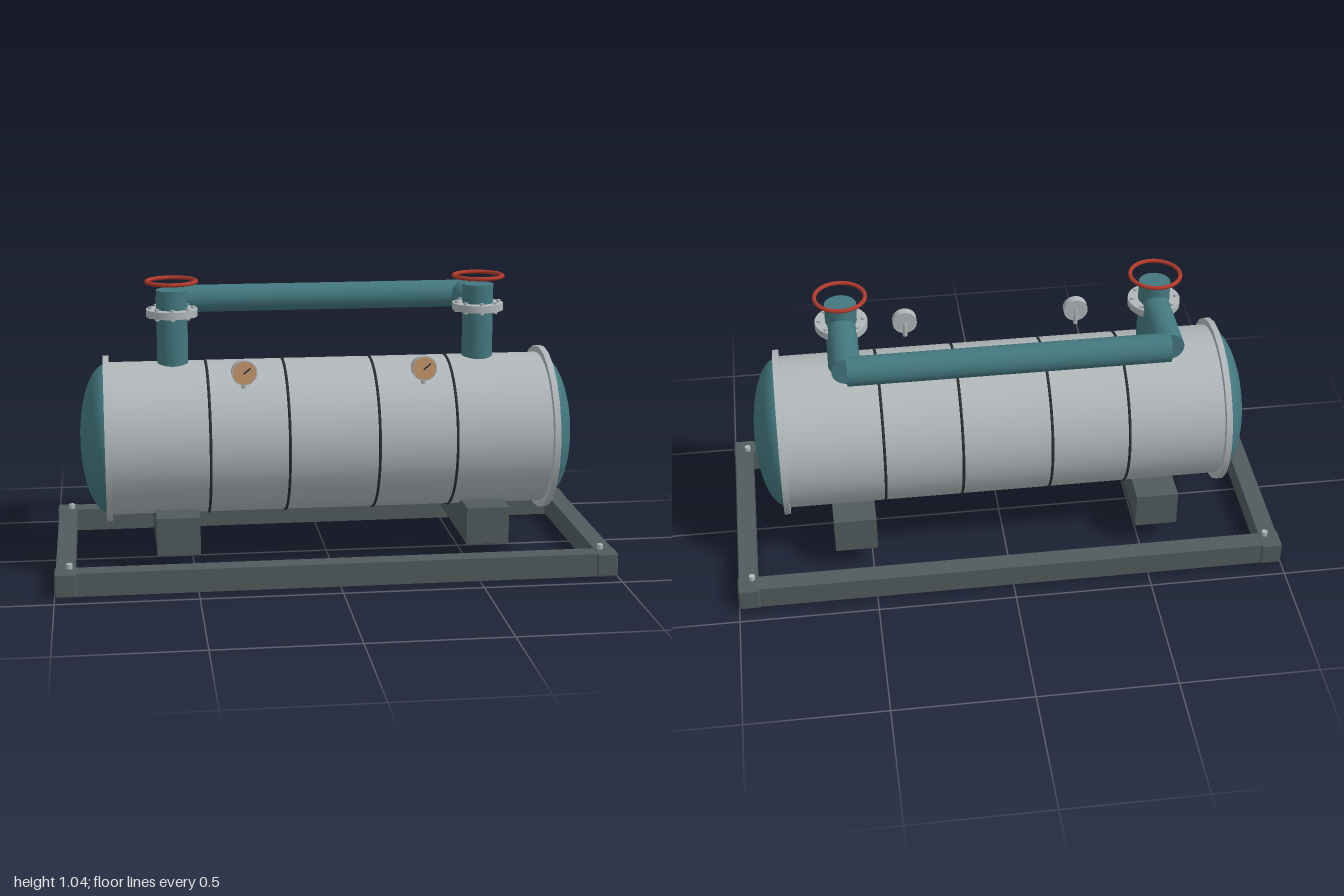
import * as THREE from 'three';
import { RoundedBoxGeometry } from 'three/addons/geometries/RoundedBoxGeometry.js';

const paint = (color) => new THREE.MeshStandardMaterial({ color });
const steel = paint(0xb0b6b9);
const teal = paint(0x43777e);
const frameGrey = paint(0x515b5e);
const red = paint(0xb03a2c);
const dark = paint(0x2c3033);
const dialTan = paint(0xc8986c);

const TANK_Y = 0.457, TANK_R = 0.278;

export function createModel() {
  const root = new THREE.Group();

  const add = (parent, name, geometry, material, x = 0, y = 0, z = 0) => {
    const mesh = new THREE.Mesh(geometry, material);
    mesh.name = name;
    mesh.position.set(x, y, z);
    parent.add(mesh);
    return mesh;
  };
  // Cylinder along a chosen axis
  const rod = (r, length, axis = 'y', sides = 32) => {
    const g = new THREE.CylinderGeometry(r, r, length, sides);
    if (axis === 'x') g.rotateZ(-Math.PI / 2);
    if (axis === 'z') g.rotateX(Math.PI / 2);
    return g;
  };
  const group = (name, x = 0, y = 0, z = 0) => {
    const g = new THREE.Group();
    g.name = name;
    g.position.set(x, y, z);
    root.add(g);
    return g;
  };

  // Tank shell and strapping bands
  const tank = group('tank', 0, TANK_Y, 0);
  add(tank, 'shell', rod(TANK_R, 1.6, 'x', 48), steel);
  for (const x of [-0.442, -0.161, 0.161, 0.442]) {
    add(tank, 'band', new THREE.TorusGeometry(TANK_R, 0.005, 8, 48).rotateY(Math.PI / 2), dark, x);
  }

  // End flanges and domed heads
  for (const s of [-1, 1]) {
    add(tank, 'endFlange', rod(0.303, 0.022, 'x', 24), steel, s * 0.802);
    const dome = new THREE.SphereGeometry(1, 32, 12, 0, Math.PI * 2, 0, Math.PI / 2);
    dome.scale(0.272, 0.1, 0.272).rotateZ(-s * Math.PI / 2);
    add(tank, 'domedHead', dome, teal, s * 0.801);
  }

  // Skid frame with corner blocks and bolts
  const skid = group('skidFrame');
  for (const s of [-1, 1]) {
    add(skid, 'longBeam', new THREE.BoxGeometry(1.88, 0.084, 0.07), frameGrey, 0, 0.044, s * 0.398);
    add(skid, 'crossBeam', new THREE.BoxGeometry(0.066, 0.084, 0.74), frameGrey, s * 0.961, 0.044, 0);
    for (const t of [-1, 1]) {
      add(skid, 'cornerBlock', new RoundedBoxGeometry(0.077, 0.088, 0.084, 2, 0.008), frameGrey, s * 0.9615, 0.044, t * 0.398);
      add(skid, 'cornerBolt', rod(0.011, 0.04, 'y', 12), steel, s * 0.947, 0.085, t * 0.377);
    }
  }

  for (const s of [-1, 1]) {
    const x = s * 0.56;
    // Saddle support
    add(root, 'saddle', new THREE.BoxGeometry(0.155, 0.136, 0.52), frameGrey, x, 0.153, 0);

    // Nozzle with bolted flange and handwheel
    const valve = group('valve', x, 0, 0);
    add(valve, 'nozzle', rod(0.056, 0.32), teal, 0, 0.84, 0);
    add(valve, 'nozzleFlange', rod(0.093, 0.026), steel, 0, 0.918, 0);
    for (let i = 0; i < 8; i++) {
      const a = i * Math.PI / 4;
      add(valve, 'flangeBolt', rod(0.008, 0.042, 'y', 8), steel, Math.cos(a) * 0.078, 0.918, Math.sin(a) * 0.078);
    }
    add(valve, 'handwheel', new THREE.TorusGeometry(0.089, 0.0075, 10, 36).rotateX(Math.PI / 2), red, 0, 1.03, 0);

    // Branch to the rear header
    add(valve, 'branchPipe', rod(0.051, 0.29, 'z'), teal, 0, 0.917, -0.145);

    // Pressure gauge
    const gauge = group('gauge', s * 0.32, 0.742, 0.243);
    add(gauge, 'case', rod(0.045, 0.03, 'z'), steel);
    add(gauge, 'dial', rod(0.041, 0.003, 'z'), dialTan, 0, 0, 0.0145);
    const needle = add(gauge, 'needle', new THREE.BoxGeometry(0.032, 0.005, 0.003), dark, 0.009, 0.007, 0.0165);
    needle.rotation.z = Math.PI / 4.5;
    add(gauge, 'stem', rod(0.009, 0.06, 'y', 12), steel, 0, -0.029, -0.01);
  }

  // Header pipe joining both branches
  add(root, 'headerPipe', rod(0.051, 1.12, 'x'), teal, 0, 0.917, -0.29);

  return root;
}
